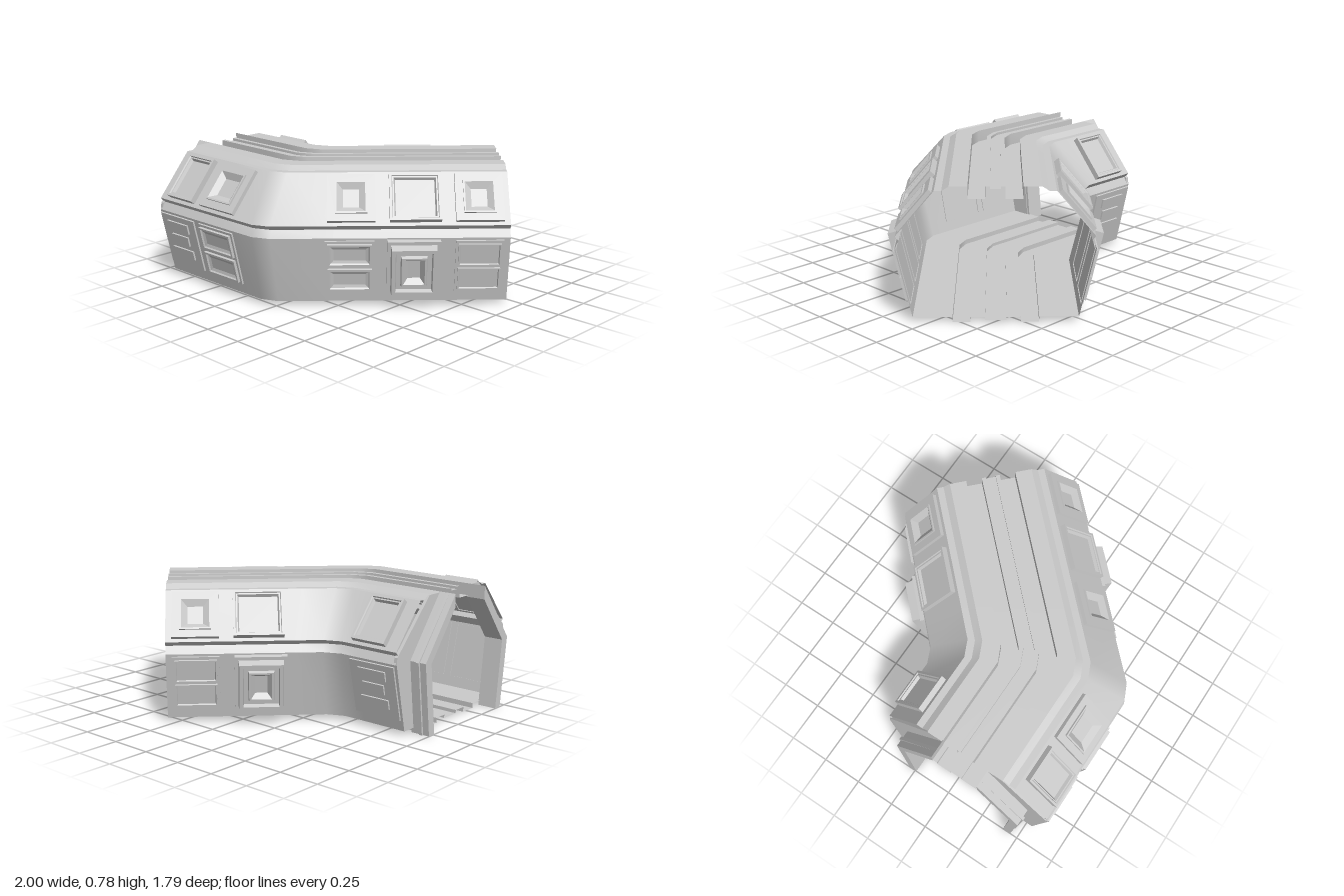
import * as THREE from 'three';

const R = Math.SQRT1_2, T = Math.tan(Math.PI / 8);
const mat = new THREE.MeshStandardMaterial({ color: 0xcccccc, side: THREE.DoubleSide });

// Path stations: centre x, z and the lateral direction x, z
const stations = [
  [-0.89, 0.33, 0, 1], [-0.5, 0.33, T * 0.6, 1], [-0.28, 0.33, T, 1],
  [-0.18, 0.285, T, 1], [0.0, 0.105, 0.54, 0.874], [0.61, -0.505, R, R],
];

// Half cross-section, from the underside round to the roof: lateral, height
const half = [
  [0.06, 0.01], [0.06, 0.03], [0.14, 0.03], [0.14, 0], [0.24, 0], [0.24, 0.03], [0.46, 0.03],
  [0.55, 0.43], [0.525, 0.475], [0.545, 0.5], [0.33, 0.755], [0.29, 0.755], [0.25, 0.78],
  [0.15, 0.78], [0.15, 0.71], [0.055, 0.71], [0.055, 0.78], [0.03, 0.78], [0.03, 0.765],
];

// Sweeps a closed section along the stations, sharp along its edges, smooth round the bend
function sweep(section) {
  const pos = [], idx = [];
  section.forEach((p, i) => {
    const q = section[(i + 1) % section.length], base = pos.length / 3;
    stations.forEach(([cx, cz, lx, lz], j) => {
      for (const [u, y] of [p, q]) pos.push(cx + lx * u, y, cz + lz * u);
      if (j === 0) return;
      const a = base + 2 * (j - 1);
      idx.push(a, a + 2, a + 1, a + 1, a + 2, a + 3);
    });
  });
  const g = new THREE.BufferGeometry();
  g.setAttribute('position', new THREE.Float32BufferAttribute(pos, 3));
  g.setIndex(idx);
  g.computeVertexNormals();
  return g;
}

// Concentric rectangles, each [inset, height], joined and closed by a flat centre
function nested(w, h, rings) {
  const pos = [];
  const corners = ([s, d]) => [[-1, -1], [1, -1], [1, 1], [-1, 1]]
    .map(([i, j]) => [i * (w / 2 - s), j * (h / 2 - s), d]);
  const quad = (a, b, c, d) => pos.push(...a, ...b, ...c, ...a, ...c, ...d);
  for (let k = 0; k + 1 < rings.length; k++) {
    const a = corners(rings[k]), b = corners(rings[k + 1]);
    for (let i = 0; i < 4; i++) quad(a[i], a[(i + 1) % 4], b[(i + 1) % 4], b[i]);
  }
  quad(...corners(rings[rings.length - 1]));
  const g = new THREE.BufferGeometry();
  g.setAttribute('position', new THREE.Float32BufferAttribute(pos, 3));
  g.computeVertexNormals();
  return g;
}

// A panel group made of nested rectangles: [width, height, x, y, rings]
function panel(name, ...parts) {
  const group = new THREE.Group();
  group.name = name;
  parts.forEach(([w, h, x, y, rings]) => {
    const m = new THREE.Mesh(nested(w, h, rings), mat);
    m.name = name + 'Part';
    m.position.set(x, y, 0);
    group.add(m);
  });
  return group;
}

const plate = (w, h, d) => [w, h, 0, 0, [[0, -0.005], [0, d]]];
const makers = {
  largeWindow: (w) => panel('largeWindow',
    [w, 0.29, 0, 0, [[0, -0.005], [0, 0.035], [0.014, 0.035], [0.018, 0.028], [0.026, 0.028], [0.034, 0.01]]]),
  smallWindow: (w) => panel('smallWindow',
    [w, 0.29, 0, 0, [[0, -0.005], [0, 0.024], [0.045, 0.024], [0.045, 0.034], [0.055, 0.034], [0.09, 0.006]]]),
  ventPanel: (w) => panel('ventPanel', plate(w, 0.33, 0.01),
    ...[[0.19, 0.1], [0.15, 0.015], [0.19, -0.075]].map(([bw, y]) =>
      [bw, 0.058, 0, y, [[0, 0.005], [0, 0.02]]])),
  doublePanel: (w) => panel('doublePanel', plate(w, 0.33, 0.01),
    ...[0.08, -0.08].map((y) =>
      [w - 0.03, 0.14, 0, y, [[0, 0.005], [0, 0.026], [0.012, 0.026], [0.018, 0.018], [0.035, 0.012]]])),
  panePanel: (w) => panel('panePanel', plate(w, 0.33, 0.01),
    ...[0.078, -0.078].map((y) =>
      [w - 0.03, 0.14, 0, y, [[0, 0.005], [0, 0.022], [0.008, 0.022], [0.012, 0.013]]])),
  hatch: (w) => panel('hatch',
    [w, 0.34, 0, 0, [[0, -0.005], [0, 0.03], [0.02, 0.03], [0.025, 0.085], [0.045, 0.085], [0.05, 0.055],
      [0.075, 0.055], [0.08, 0.075], [0.09, 0.075], [0.115, 0.04]]]),
};

// Sets a panel on a wall: bay 0 is measured by x, bay 1 by distance back from its end
function mount(parent, type, bay, side, along, w) {
  const upper = type.endsWith('Window');
  const dir = bay ? new THREE.Vector3(R, 0, -R) : new THREE.Vector3(1, 0, 0);
  const lat = (bay ? new THREE.Vector3(R, 0, R) : new THREE.Vector3(0, 0, 1)).multiplyScalar(side);
  const centre = bay ? new THREE.Vector3(0.61, 0, -0.505).addScaledVector(dir, -along)
    : new THREE.Vector3(along, 0, 0.33);
  const [u, y, du, dy] = upper ? [0.438, 0.627, -0.215, 0.255] : [0.511, 0.255, 0.09, 0.4];
  const up = lat.clone().multiplyScalar(du).setY(dy).normalize();
  const out = lat.clone().multiplyScalar(dy).setY(-du).normalize();
  const across = up.clone().cross(out);
  const m = makers[type](w);
  m.quaternion.setFromRotationMatrix(new THREE.Matrix4().makeBasis(across, up, out));
  m.position.copy(centre).addScaledVector(lat, u).setY(y);
  parent.add(m);
}

// Upright slab with a side outline, running from x0 towards -x
function slab(parent, name, points, x0, depth) {
  for (const side of [1, -1]) {
    const shape = new THREE.Shape(points.map(([u, y]) => new THREE.Vector2(u * side, y)));
    const g = new THREE.ExtrudeGeometry(shape, { depth, bevelEnabled: false });
    g.rotateY(-Math.PI / 2);
    const m = new THREE.Mesh(g, mat);
    m.name = name;
    m.position.set(x0, 0, 0.33);
    parent.add(m);
  }
}

export function createModel() {
  const model = new THREE.Group();
  model.name = 'bentCorridor';

  // Hollow shell with floor runners, waist groove and roof channel
  const mirrored = half.map(([u, y]) => [-u, y]).reverse();
  const shell = new THREE.Mesh(sweep([...half, ...mirrored]), mat);
  shell.name = 'shell';
  model.add(shell);

  // Connecting collar and the end plates behind it
  const collar = (e) => [[0.15, 0.78], [0.42 + e, 0.43], [0.37 + e, 0], [0.32, 0], [0.365, 0.42], [0.15, 0.7]];
  slab(model, 'collar', collar(0), -0.88, 0.12);
  slab(model, 'collarRib', collar(0.012), -0.94, 0.02);
  slab(model, 'endPlate',
    [[0.25, 0.775], [0.54, 0.47], [0.545, 0.43], [0.46, 0.03], [0.34, 0.03], [0.38, 0.42], [0.15, 0.72], [0.15, 0.775]],
    -0.875, 0.02);

  // Panels on both walls
  for (const side of [1, -1]) {
    mount(model, 'largeWindow', 0, side, -0.695, 0.23);
    mount(model, 'ventPanel', 0, side, -0.725, 0.31);
    mount(model, 'smallWindow', 1, side, 0.17, 0.27);
    mount(model, 'panePanel', 1, side, 0.17, 0.27);
    mount(model, 'largeWindow', 1, side, 0.53, 0.29);
    mount(model, 'hatch', 1, side, 0.54, 0.3);
  }

  // Extra panels on the longer outer wall
  mount(model, 'smallWindow', 0, 1, -0.37, 0.3);
  mount(model, 'doublePanel', 0, 1, -0.37, 0.3);
  mount(model, 'smallWindow', 1, 1, 0.89, 0.27);
  mount(model, 'doublePanel', 1, 1, 0.9, 0.28);
  return model;
}
